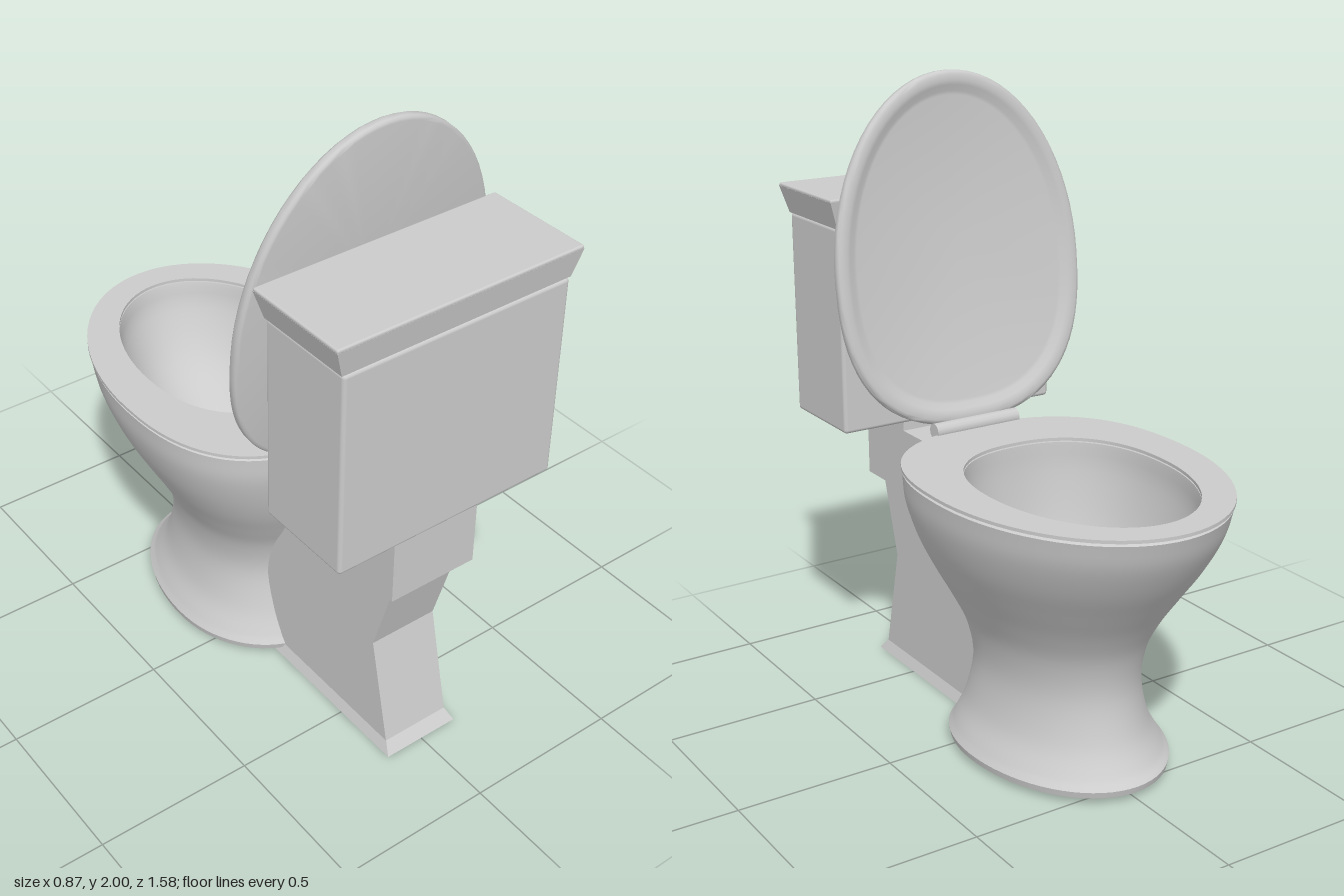
import * as THREE from 'three';
import { toCreasedNormals } from 'three/addons/utils/BufferGeometryUtils.js';
import { RoundedBoxGeometry } from 'three/addons/geometries/RoundedBoxGeometry.js';

const material = new THREE.MeshStandardMaterial({ color: 0xcccccc });
const SEGMENTS = 72;

function add(group, name, geometry, x = 0, y = 0, z = 0) {
  const mesh = new THREE.Mesh(geometry, material);
  mesh.name = name;
  mesh.position.set(x, y, z);
  group.add(mesh);
  return mesh;
}

// Egg section row: [y, front z, back z, half width, squareness of the back]
function eggPoint([y, front, back, width, power], angle) {
  const middle = front + 0.555 * (back - front);
  const c = Math.cos(angle), s = Math.sin(angle);
  if (s < 0) return [width * c, y, middle + (middle - front) * s];
  const e = 2 / power;
  return [width * Math.sign(c) * Math.abs(c) ** e, y, middle + (back - middle) * s ** e];
}

// Skin a list of egg sections, outward for rising rows
function loft(rows, crease = 0.7) {
  const positions = [], index = [];
  rows.forEach((row, i) => {
    for (let j = 0; j < SEGMENTS; j++) {
      positions.push(...eggPoint(row, (j / SEGMENTS) * Math.PI * 2));
      if (i === rows.length - 1) continue;
      const k = (j + 1) % SEGMENTS;
      const a = i * SEGMENTS + j, b = i * SEGMENTS + k;
      index.push(a, a + SEGMENTS, b, b, a + SEGMENTS, b + SEGMENTS);
    }
  });
  const geometry = new THREE.BufferGeometry();
  geometry.setAttribute('position', new THREE.Float32BufferAttribute(positions, 3));
  geometry.setIndex(index);
  return toCreasedNormals(geometry, crease);
}

// Smooth curve through section rows
function smooth(rows, count) {
  const curve = (pick) => new THREE.CatmullRomCurve3(rows.map(pick), false, 'catmullrom', 0.5);
  const a = curve((r) => new THREE.Vector3(r[0], r[1], r[2]));
  const b = curve((r) => new THREE.Vector3(r[3], r[4], 0));
  return Array.from({ length: count + 1 }, (_, i) => {
    const p = a.getPoint(i / count), q = b.getPoint(i / count);
    return [p.x, p.y, p.z, q.x, q.y];
  });
}

// Side profile of [z, y] points given a width along x
function sideExtrude(points, width) {
  const shape = new THREE.Shape(points.map(([z, y]) => new THREE.Vector2(z, y)));
  return new THREE.ExtrudeGeometry(shape, { depth: width, bevelEnabled: false })
    .translate(0, 0, -width / 2)
    .rotateY(-Math.PI / 2);
}

// Box whose top face has its own width and depth
function taperedBox(width, height, depth, topWidth, topDepth) {
  const geometry = new THREE.BoxGeometry(width, height, depth);
  const p = geometry.attributes.position;
  for (let i = 0; i < p.count; i++) {
    if (p.getY(i) > 0) {
      p.setX(i, Math.sign(p.getX(i)) * topWidth / 2);
      p.setZ(i, Math.sign(p.getZ(i)) * topDepth / 2);
    }
  }
  return toCreasedNormals(geometry, 0.1);
}

export function createModel() {
  const model = new THREE.Group();
  model.name = 'toilet';

  // Bowl: flared foot, narrow waist, wide rim, then the basin inside
  const outside = smooth([
    [0.04, -0.582, 0.21, 0.305, 2.1],
    [0.07, -0.55, 0.19, 0.287, 2.1],
    [0.15, -0.505, 0.155, 0.248, 2.15],
    [0.28, -0.478, 0.125, 0.225, 2.2],
    [0.4, -0.497, 0.145, 0.243, 2.25],
    [0.5, -0.548, 0.19, 0.287, 2.3],
    [0.6, -0.62, 0.235, 0.34, 2.4],
    [0.7, -0.695, 0.268, 0.388, 2.45],
    [0.8, -0.755, 0.29, 0.42, 2.5],
    [0.885, -0.785, 0.295, 0.43, 2.5],
  ], 40);
  const inside = smooth([
    [0.9, -0.7, 0.09, 0.302, 2.3],
    [0.8, -0.675, 0.085, 0.292, 2.3],
    [0.65, -0.585, 0.065, 0.245, 2.2],
    [0.52, -0.43, 0.035, 0.17, 2.1],
    [0.43, -0.29, 0.012, 0.118, 2],
    [0.36, -0.21, 0, 0.1, 2],
    [0.3, -0.18, 0, 0.093, 2],
  ], 24);
  add(model, 'bowl', loft([
    [0.01, -0.19, -0.188, 0.001, 2],
    [0.01, -0.555, 0.185, 0.285, 2.1],
    [0.02, -0.577, 0.205, 0.301, 2.1],
    ...outside,
    [0.891, -0.775, 0.285, 0.42, 2.5],
    [0.891, -0.7, 0.09, 0.302, 2.3],
    ...inside.slice(1),
    [0.3, -0.091, -0.09, 0.001, 2],
  ]));

  // Thin seat ring on the rim
  add(model, 'seat', loft([
    [0.895, -0.7, 0.09, 0.302, 2.3],
    [0.895, -0.79, 0.298, 0.433, 2.5],
    [0.905, -0.79, 0.298, 0.433, 2.5],
    [0.905, -0.7, 0.09, 0.302, 2.3],
    [0.895, -0.7, 0.09, 0.302, 2.3],
  ]));

  // Raised lid, modelled closed around its hinge; the underside is dished
  const lidRow = (y, inset, power = 2.5) => [y, -1.09 + inset, -inset, 0.432 - inset * 0.95, power];
  const lidCentre = (y) => [y, -0.601, -0.6, 0.001, 2];
  const lid = add(model, 'lid', loft([
    lidCentre(0.018),
    lidRow(0.018, 0.075),
    lidRow(0.015, 0.063),
    lidRow(0.004, 0.045),
    lidRow(0, 0.032),
    lidRow(0, 0.014),
    lidRow(0.003, 0.005),
    lidRow(0.01, 0),
    lidRow(0.027, 0),
    lidRow(0.033, 0.004),
    lidRow(0.035, 0.012),
    lidCentre(0.035),
  ], 0.9), 0, 0.92, 0.3);
  lid.rotation.x = Math.PI / 2 + 0.122;

  // Hinge bar
  add(model, 'hinge', new THREE.CylinderGeometry(0.026, 0.026, 0.3, 12).rotateZ(Math.PI / 2), 0, 0.912, 0.3);

  // Stepped shelf carrying the tank
  add(model, 'tankShelf', sideExtrude(
    [[0.2, 0.65], [0.735, 0.65], [0.735, 0.9], [0.495, 0.9], [0.495, 0.86], [0.2, 0.86]], 0.3));

  // Kinked rear pedestal and its flared foot
  add(model, 'rearPedestal', sideExtrude(
    [[0.12, 0.03], [0.7, 0.03], [0.62, 0.38], [0.7, 0.65], [0.2, 0.65], [0.05, 0.35]], 0.23));
  add(model, 'rearFoot', taperedBox(0.26, 0.035, 0.63, 0.23, 0.57), 0, 0.0175, 0.415);

  // Tank and flared tank lid
  add(model, 'tank', new RoundedBoxGeometry(0.76, 0.65, 0.325, 3, 0.012), 0, 1.225, 0.6175);
  add(model, 'tankLid', taperedBox(0.768, 0.085, 0.322, 0.82, 0.35), 0, 1.5925, 0.615);
  add(model, 'tankLidTop', new RoundedBoxGeometry(0.82, 0.014, 0.35, 3, 0.006), 0, 1.638, 0.615);

  return model;
}
